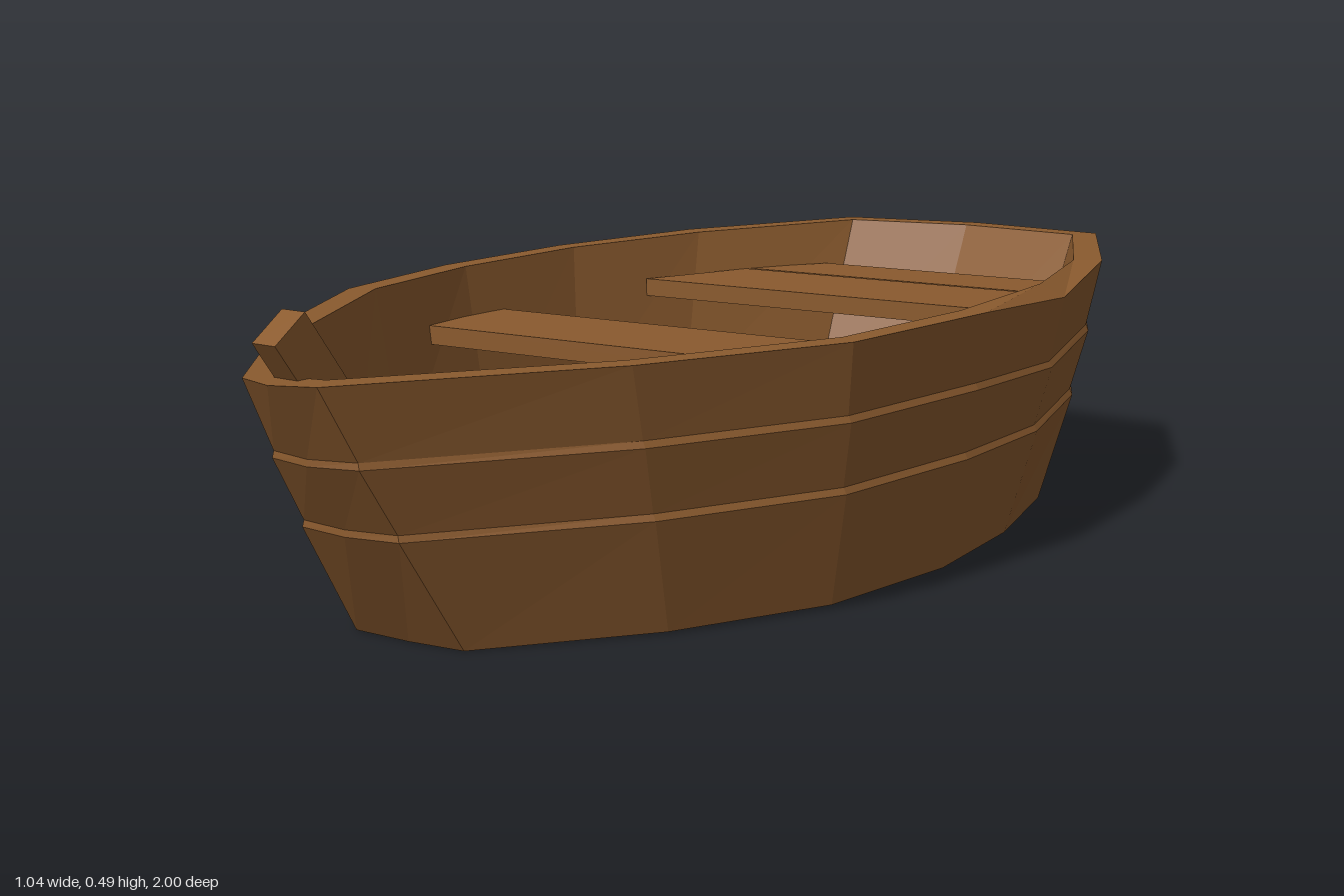
import * as THREE from 'three';

const wood = new THREE.MeshStandardMaterial({ color: 0x8a5a2e, flatShading: true });
wood.name = 'brown wood';

// Plan outlines as [x, z], from the bow round by the left side to the stern and back
const rimOuter = [[-0.015, 0.997], [0.05, 0.975], [0.31, 0.64], [0.475, 0.33], [0.52, 0], [0.5, -0.33], [0.44, -0.62], [0.28, -0.96],
  [0.01, -1], [-0.25, -0.96], [-0.425, -0.63], [-0.505, -0.31], [-0.523, 0], [-0.485, 0.3], [-0.33, 0.63], [-0.08, 0.975]];
const rimInner = [[-0.015, 0.935], [0.025, 0.93], [0.28, 0.61], [0.44, 0.3], [0.477, 0], [0.465, -0.31], [0.395, -0.6], [0.25, -0.92],
  [0.01, -0.955], [-0.225, -0.92], [-0.385, -0.6], [-0.465, -0.3], [-0.48, 0], [-0.445, 0.28], [-0.295, 0.6], [-0.055, 0.93]];
const keel = [[-0.005, 0.74], [0.09, 0.735], [0.28, 0.51], [0.41, 0.27], [0.455, 0], [0.44, -0.25], [0.385, -0.5], [0.25, -0.785],
  [0.01, -0.815], [-0.23, -0.785], [-0.38, -0.5], [-0.44, -0.24], [-0.452, 0], [-0.42, 0.26], [-0.29, 0.51], [-0.105, 0.735]];
const floorLine = [[0, 0.75], [0.07, 0.75], [0.295, 0.5], [0.41, 0.26], [0.432, 0], [0.42, -0.26], [0.36, -0.5], [0.23, -0.77],
  [0.01, -0.8], [-0.21, -0.77], [-0.35, -0.5], [-0.42, -0.25], [-0.435, 0], [-0.41, 0.26], [-0.31, 0.5], [-0.09, 0.75]];

// Lifts an outline to a height that rises slightly towards the stern
const lift = (outline, y) => outline.map(([x, z]) => new THREE.Vector3(x, y - 0.013 * z, z));

function meshFrom(points, name) {
  const geometry = new THREE.BufferGeometry().setFromPoints(points);
  geometry.computeVertexNormals();
  const mesh = new THREE.Mesh(geometry, wood);
  mesh.name = name;
  return mesh;
}

// Skin between consecutive closed rings
function loft(rings, name) {
  const points = [];
  for (let r = 0; r < rings.length - 1; r++) {
    const low = rings[r], high = rings[r + 1];
    low.forEach((a, i) => {
      const j = (i + 1) % low.length;
      points.push(a, low[j], high[j], a, high[j], high[i]);
    });
  }
  return meshFrom(points, name);
}

// Flat fan across a ring
function cap(ring, up, name) {
  const points = [];
  for (let i = 1; i < ring.length - 1; i++) {
    points.push(ring[0], ...(up ? [ring[i], ring[i + 1]] : [ring[i + 1], ring[i]]));
  }
  return meshFrom(points, name);
}

// Plank with a plan outline of [x, z] corners
function plank(corners, top, thickness, name) {
  const shape = new THREE.Shape(corners.map(([x, z]) => new THREE.Vector2(x, -z)));
  const geometry = new THREE.ExtrudeGeometry(shape, { depth: thickness, bevelEnabled: false });
  geometry.rotateX(-Math.PI / 2).translate(0, top - thickness, 0);
  const mesh = new THREE.Mesh(geometry, wood);
  mesh.name = name;
  return mesh;
}

export function createModel() {
  const boat = new THREE.Group();
  boat.name = 'rowingBoat';

  const bottom = lift(keel, 0.01);
  const top = lift(rimOuter, 0.417);
  const innerTop = lift(rimInner, 0.417);
  const floor = lift(floorLine, 0.125);
  top[5].y -= 0.022; // dent in the left rim

  // Overlapping outer planks: each lower one stands out in a narrow ledge
  const level = (t, out) => bottom.map((p, i) => {
    const q = p.clone().lerp(top[i], t);
    const side = new THREE.Vector3(q.x, 0, q.z * 0.4).normalize();
    return q.addScaledVector(side, out);
  });
  boat.add(loft([bottom, level(0.435, 0.011), level(0.46, 0.004), level(0.705, 0.009), level(0.73, 0.002), top], 'hullPlanks'));
  boat.add(cap(bottom, false, 'hullBottom'));
  boat.add(loft([top, innerTop], 'rim'));
  boat.add(loft([innerTop, floor], 'innerWall'));
  boat.add(cap(floor, true, 'floor'));

  // Seats
  boat.add(plank([[-0.465, 0.135], [0.445, 0.15], [0.465, -0.075], [-0.465, -0.085]], 0.333, 0.032, 'middleSeat'));
  boat.add(plank([[-0.405, -0.45], [0.415, -0.438], [0.345, -0.668], [-0.325, -0.677]], 0.35, 0.032, 'rearSeatFrontBoard'));
  boat.add(plank([[-0.33, -0.686], [0.345, -0.676], [0.24, -0.83], [-0.235, -0.835]], 0.35, 0.032, 'rearSeatBackBoard'));

  // Slanting post inside the bow
  const head = new THREE.Vector3(-0.025, 0.474, 0.962);
  const foot = new THREE.Vector3(0, 0.1, 0.69);
  const post = new THREE.Mesh(new THREE.BoxGeometry(0.044, 0.066, head.distanceTo(foot)), wood);
  post.name = 'bowPost';
  post.position.copy(head).add(foot).multiplyScalar(0.5);
  post.lookAt(head);
  boat.add(post);

  return boat;
}
